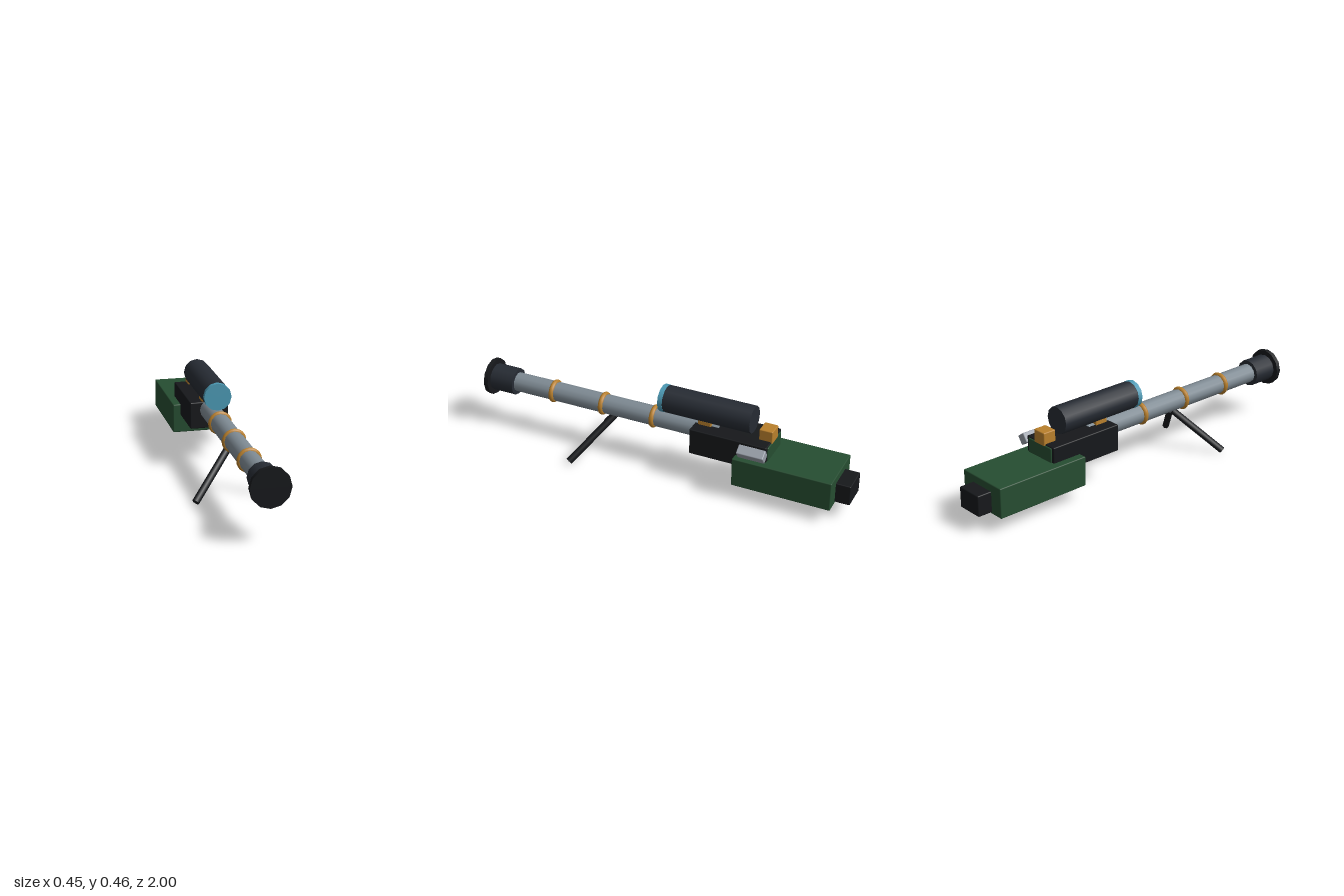
import * as THREE from 'three';
import { RoundedBoxGeometry } from 'three/addons/geometries/RoundedBoxGeometry.js';

const SIDES = 12;
const BORE_Y = 0.27; // height of the barrel axis

const paint = (color) => new THREE.MeshStandardMaterial({ color });
const black = paint(0x16181b);
const charcoal = paint(0x262b33);
const steel = paint(0x7e8a93);
const silver = paint(0x969ca6);
const green = paint(0x264d31);
const brass = paint(0xb9802c);
const glass = paint(0x4c9ab5);

export function createModel() {
  const model = new THREE.Group();
  model.name = 'shoulderLauncher';

  const add = (name, geometry, material) => {
    const mesh = new THREE.Mesh(geometry, material);
    mesh.name = name;
    model.add(mesh);
    return mesh;
  };

  // Box given by its extents, with slightly softened edges
  const box = (name, material, [x0, x1], [y0, y1], [z0, z1]) => {
    const mesh = add(name, new RoundedBoxGeometry(x1 - x0, y1 - y0, z1 - z0, 2, 0.005), material);
    mesh.position.set((x0 + x1) / 2, (y0 + y1) / 2, (z0 + z1) / 2);
    return mesh;
  };

  // Cylinder lying along z
  const tube = (name, material, radius, y, z0, z1) => {
    const geometry = new THREE.CylinderGeometry(radius, radius, z1 - z0, SIDES).rotateX(Math.PI / 2);
    const mesh = add(name, geometry, material);
    mesh.position.set(0, y, (z0 + z1) / 2);
    return mesh;
  };

  // Barrel, muzzle and end flange
  tube('barrel', steel, 0.05, BORE_Y, -0.3, 0.86);
  tube('muzzle', charcoal, 0.07, BORE_Y, 0.847, 0.985);
  tube('muzzleFlange', black, 0.096, BORE_Y, 0.977, 1.0);

  // Brass bands round the barrel
  for (const z of [0.627, 0.342, 0.057]) {
    const band = add('barrelBand', new THREE.TorusGeometry(0.047, 0.0135, 8, 24), brass);
    band.position.set(0, BORE_Y, z);
  }

  // Receiver, rear plate and stock
  box('receiver', black, [-0.1, 0.1], [0.172, 0.311], [-0.578, -0.175]);
  box('receiverBackPlate', green, [-0.085, 0.085], [0.2, 0.305], [-0.584, -0.56]);
  box('stock', green, [-0.14, 0.14], [0.079, 0.232], [-0.925, -0.418]);
  box('buttPad', black, [-0.07, 0.07], [0.088, 0.194], [-1.0, -0.91]);

  // Sight with its lens and mounts
  tube('scope', charcoal, 0.069, 0.39, -0.475, -0.008);
  tube('lens', glass, 0.07, 0.39, -0.012, 0.013);
  box('frontSightMount', brass, [-0.037, 0.037], [0.3, 0.336], [-0.262, -0.192]);
  box('rearSight', brass, [-0.038, 0.038], [0.3, 0.368], [-0.585, -0.515]);

  // Tilted side handle
  const handle = box('sideHandle', silver, [0.105, 0.155], [0.257, 0.307], [-0.585, -0.447]);
  handle.rotation.z = -0.61;

  // Bipod legs, splayed sideways and forwards
  const up = new THREE.Vector3(0, 1, 0);
  for (const side of [-1, 1]) {
    const top = new THREE.Vector3(side * 0.01, 0.22, 0.28);
    const foot = new THREE.Vector3(side * 0.21, 0.014, 0.443);
    const along = foot.clone().sub(top);
    const leg = add(side > 0 ? 'leftBipodLeg' : 'rightBipodLeg',
      new THREE.CylinderGeometry(0.018, 0.018, along.length(), 8), black);
    leg.position.copy(top).add(foot).multiplyScalar(0.5);
    leg.quaternion.setFromUnitVectors(up, along.normalize());
  }

  return model;
}
